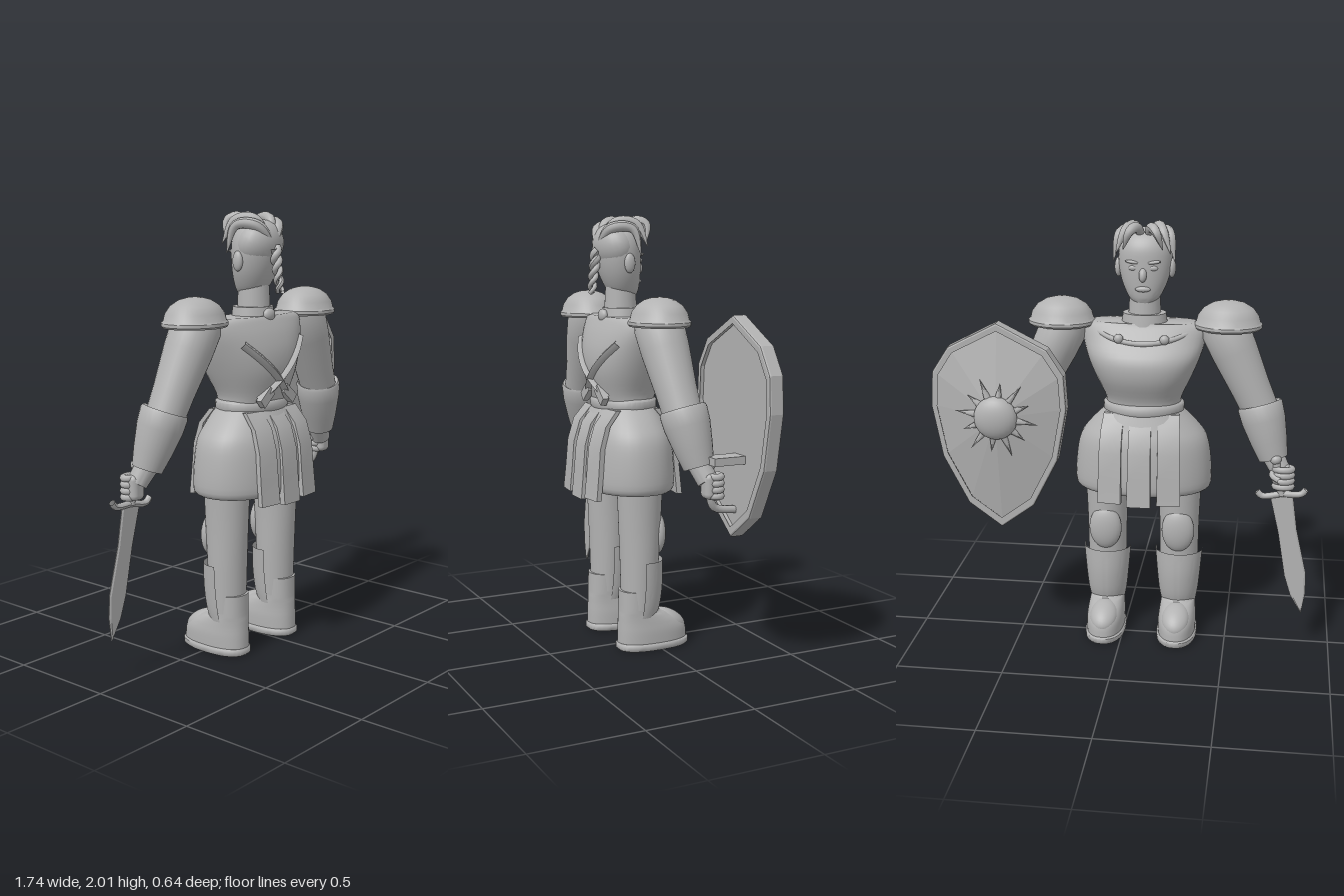
import * as THREE from 'three';
import { toCreasedNormals } from 'three/addons/utils/BufferGeometryUtils.js';
import { RoundedBoxGeometry } from 'three/addons/geometries/RoundedBoxGeometry.js';

const grey = new THREE.MeshStandardMaterial({ color: 0xb2b2b2, side: THREE.DoubleSide });
grey.name = 'grey';
const V = (p) => new THREE.Vector3(...p);

function add(parent, name, geometry, pos = [0, 0, 0], scale = [1, 1, 1], rot = [0, 0, 0]) {
  const m = new THREE.Mesh(geometry, grey);
  m.name = name;
  m.position.set(...pos);
  m.scale.set(...scale);
  m.rotation.set(...rot);
  parent.add(m);
  return m;
}
const ball = (parent, name, pos, scale, rot) => add(parent, name, new THREE.SphereGeometry(1, 24, 16), pos, scale, rot);

// Catmull-Rom smoothing of section rows
function smoothRows(rows, k = 4) {
  const out = [];
  for (let i = 0; i < rows.length - 1; i++) {
    const [a, b, c, d] = [rows[Math.max(i - 1, 0)], rows[i], rows[i + 1], rows[Math.min(i + 2, rows.length - 1)]];
    for (let s = 0; s < k; s++) {
      const t = s / k;
      out.push(b.map((v, j) => v + 0.5 * t * (c[j] - a[j] + t * (2 * a[j] - 5 * v + 4 * c[j] - d[j] + t * (3 * (v - c[j]) + d[j] - a[j])))));
    }
  }
  return [...out, rows[rows.length - 1]];
}

// Horizontal sections [y, half width, front z, back z] joined into a skin
function loft(rows, { n = 2, from = 0, to = Math.PI * 2, smooth = true, close = true, seg = 40 } = {}) {
  let r = smooth ? smoothRows(rows) : rows;
  if (close) {
    const cap = (q) => [q[0], 0, (q[2] + q[3]) / 2, (q[2] + q[3]) / 2];
    r = [cap(r[0]), ...r, cap(r[r.length - 1])];
  }
  const pos = [], idx = [];
  const pw = (v) => Math.sign(v) * Math.abs(v) ** (2 / n);
  r.forEach(([y, rx, zf, zb]) => {
    for (let j = 0; j <= seg; j++) {
      const t = from + ((to - from) * j) / seg;
      pos.push(rx * pw(Math.cos(t)), y, (zf + zb) / 2 + ((zb - zf) / 2) * pw(Math.sin(t)));
    }
  });
  for (let i = 0; i < r.length - 1; i++) for (let j = 0; j < seg; j++) {
    const a = i * (seg + 1) + j, b = a + seg + 1;
    idx.push(a, b, a + 1, b, b + 1, a + 1);
  }
  const g = new THREE.BufferGeometry();
  g.setAttribute('position', new THREE.Float32BufferAttribute(pos, 3));
  g.setIndex(idx);
  return toCreasedNormals(g, 0.8);
}

// Turned part whose profile [radius, 0..1] runs from point a to point b
function turned(parent, name, profile, a, b) {
  const d = V(b).sub(V(a)), len = d.length();
  const g = new THREE.LatheGeometry(profile.map(([r, t]) => new THREE.Vector2(r, t * len)), 28);
  const m = add(parent, name, toCreasedNormals(g, 0.7), a);
  m.quaternion.setFromUnitVectors(new THREE.Vector3(0, 1, 0), d.normalize());
}

// Tube along points, thickness varied by a rule
function tube(parent, name, pts, r, rule = () => 1, radial = 10) {
  const curve = new THREE.CatmullRomCurve3(pts.map(V)), seg = 24;
  const g = new THREE.TubeGeometry(curve, seg, r, radial);
  const p = g.attributes.position, v = new THREE.Vector3();
  for (let i = 0; i < p.count; i++) {
    const u = Math.floor(i / (radial + 1)) / seg, c = curve.getPointAt(u);
    v.fromBufferAttribute(p, i).sub(c).multiplyScalar(rule(u)).add(c);
    p.setXYZ(i, v.x, v.y, v.z);
  }
  g.computeVertexNormals();
  return add(parent, name, g);
}
const leaf = (u) => 0.08 + Math.sin(Math.PI * Math.min(1, u * 0.85 + 0.15));

const torsoRows = [[1.15, 0.175, -0.05, 0.21], [1.2, 0.18, -0.06, 0.225], [1.3, 0.225, -0.105, 0.25], [1.39, 0.262, -0.107, 0.248],
  [1.47, 0.285, -0.05, 0.225], [1.53, 0.29, -0.01, 0.195], [1.55, 0.25, 0.0, 0.18]];
function backZ(x, y) {
  const i = Math.max(0, torsoRows.findIndex((r) => r[0] >= y) - 1), a = torsoRows[i], b = torsoRows[i + 1];
  const [, rx, zf, zb] = a.map((v, j) => v + ((b[j] - v) * (y - a[0])) / (b[0] - a[0]));
  return (zf + zb) / 2 + ((zb - zf) / 2) * (1 - Math.abs(x / rx) ** 2.3) ** (1 / 2.3);
}

function buildBody(f) {
  add(f, 'breastplate', loft(torsoRows, { n: 2.3 }));
  add(f, 'belt', loft([[1.125, 0.185, -0.065, 0.22], [1.135, 0.19, -0.07, 0.225], [1.165, 0.19, -0.07, 0.225], [1.175, 0.18, -0.06, 0.215]], { smooth: false }));
  add(f, 'skirt', loft([[0.75, 0.305, -0.11, 0.28], [0.78, 0.325, -0.125, 0.297], [0.9, 0.32, -0.122, 0.293], [1.0, 0.3, -0.11, 0.278],
    [1.07, 0.25, -0.085, 0.25], [1.14, 0.18, -0.06, 0.212]], { n: 2.2 }));
  add(f, 'collar', loft([[1.51, 0.11, -0.01, 0.185], [1.59, 0.1, 0, 0.17], [1.59, 0.08, 0.01, 0.16]], { smooth: false }));
  add(f, 'neck', new THREE.CylinderGeometry(0.07, 0.078, 0.16, 24), [0, 1.61, 0.09]);
  // hanging skirt panels, back and front
  const edge = [[0.21, 1.13], [0.268, 1.06], [0.298, 0.96], [0.308, 0.84], [0.32, 0]];
  for (const side of [1, -1]) for (const i of [-1, 0, 1]) {
    const low = 0.71 + 0.012 * Math.abs(i);
    const pts = edge.map(([z, y]) => [side * (z - 0.085 - 0.008 * Math.abs(i)), y || low]);
    const outline = [...pts, ...pts.slice().reverse().map(([z, y]) => [z - side * 0.025, y])];
    const g = new THREE.ExtrudeGeometry(new THREE.Shape(outline.map((p) => new THREE.Vector2(...p))), { depth: 0.112, bevelEnabled: false });
    g.translate(0, 0, -0.056).rotateY(-Math.PI / 2);
    const p = g.attributes.position;
    for (let k = 0; k < p.count; k++) p.setX(k, p.getX(k) * (1 - 0.25 * (p.getY(k) - 0.71)));
    add(f, 'skirtPanel', toCreasedNormals(g, 0.5), [i * 0.113, 0, 0.085], [1, 1, 1], [0, i * side * 0.12, 0]);
  }
  // crossed straps on the back, studs and clasp
  for (const s of [1, -1]) {
    const pts = [0, 0.25, 0.5, 0.75, 1].map((t) => {
      const x = s * (0.2 - 0.3 * t), y = 1.44 - 0.26 * t;
      return [x, y, backZ(x, y)];
    });
    tube(f, 'backStrap', pts, 0.021, () => 1, 4);
    add(f, 'strapEnd', new THREE.BoxGeometry(0.09, 0.045, 0.03), [s * -0.08, 1.195, 0.225], [1, 1, 1], [0, 0, s * 0.7]);
    ball(f, 'stud', [s * 0.105, 1.49, -0.045], [0.022, 0.022, 0.02]);
  }
  ball(f, 'clasp', [0, 1.555, 0.18], [0.035, 0.03, 0.02]);
  tube(f, 'neckline', [[-0.24, 1.52, 0.04], [-0.13, 1.485, -0.03], [0, 1.47, -0.055], [0.13, 1.485, -0.03], [0.24, 1.52, 0.04]], 0.012);
}

function buildHead(f) {
  add(f, 'head', loft([[1.64, 0.045, 0.02, 0.11], [1.67, 0.075, 0.008, 0.15], [1.74, 0.107, 0.003, 0.185], [1.82, 0.122, 0.003, 0.203],
    [1.89, 0.118, 0.01, 0.2], [1.94, 0.09, 0.04, 0.17], [1.965, 0.03, 0.08, 0.13]], { n: 2.1 }));
  ball(f, 'nose', [0, 1.775, 0.0], [0.018, 0.032, 0.022], [0.35, 0, 0]);
  ball(f, 'lips', [0, 1.71, 0.005], [0.035, 0.013, 0.013]);
  ball(f, 'hairCap', [0, 1.865, 0.125], [0.127, 0.11, 0.092], [0.3, 0, 0]);
  for (const s of [1, -1]) {
    ball(f, 'ear', [s * 0.123, 1.795, 0.1], [0.018, 0.045, 0.026]);
    ball(f, 'eye', [s * 0.045, 1.805, 0.013], [0.022, 0.012, 0.009]);
    ball(f, 'brow', [s * 0.048, 1.832, 0.012], [0.034, 0.008, 0.012], [0, 0, s * 0.12]);
    tube(f, 'sideLock', [[0, 1.86, 0.205], [s * 0.07, 1.95, 0.17], [s * 0.115, 1.95, 0.08], [s * 0.14, 1.83, 0.05]], 0.024, leaf);
    tube(f, 'topLock', [[s * 0.02, 1.9, 0.18], [s * 0.05, 1.975, 0.14], [s * 0.085, 1.97, 0.05], [s * 0.125, 1.87, 0.01]], 0.023, leaf);
    tube(f, 'forelock', [[s * 0.01, 1.93, 0.1], [s * 0.035, 1.985, 0.03], [s * 0.06, 1.97, -0.012], [s * 0.09, 1.89, 0]], 0.022, leaf);
  }
  // braid of two wound strands
  for (const phase of [0, Math.PI]) {
    const pts = Array.from({ length: 13 }, (_, i) => {
      const a = phase + i * 1.15;
      return [0.004 * i / 12 + 0.014 * Math.cos(a), 1.855 - 0.0165 * i, 0.212 + 0.0022 * i + 0.012 * Math.sin(a)];
    });
    tube(f, 'braid', pts, 0.017, (u) => 1.05 - 0.5 * u);
  }
}

function buildLeg(f, s) {
  const g = new THREE.Group();
  g.name = s > 0 ? 'leftLeg' : 'rightLeg';
  g.position.x = s * 0.175;
  f.add(g);
  add(g, 'thigh', loft([[0.2, 0.085, 0, 0.165], [0.4, 0.092, -0.01, 0.17], [0.6, 0.096, -0.022, 0.178], [0.8, 0.105, -0.03, 0.185]]));
  ball(g, 'kneePad', [0, 0.548, -0.002], [0.078, 0.108, 0.042]);
  add(g, 'greave', loft([[0.16, 0.085, -0.002, 0.17], [0.22, 0.095, -0.02, 0.175], [0.32, 0.105, -0.03, 0.175], [0.43, 0.114, -0.027, 0.175]],
    { from: Math.PI * 0.93, to: Math.PI * 2.07, close: false }));
  add(g, 'sole', loft([[0, 0.09, -0.16, 0.185], [0.008, 0.097, -0.167, 0.193], [0.028, 0.097, -0.167, 0.193], [0.035, 0.09, -0.16, 0.187]], { n: 2.4, smooth: false }));
  add(g, 'boot', loft([[0.035, 0.09, -0.16, 0.187], [0.09, 0.091, -0.152, 0.186], [0.13, 0.087, -0.115, 0.184], [0.165, 0.082, -0.05, 0.182],
    [0.19, 0.079, -0.005, 0.18], [0.285, 0.079, 0.0, 0.178]], { n: 2.3 }));
  ball(g, 'toeCap', [0, 0.115, -0.07], [0.068, 0.05, 0.095], [-0.5, 0, 0]);
}

function buildArm(f, s) {
  const g = new THREE.Group();
  g.name = s > 0 ? 'leftArm' : 'rightArm';
  f.add(g);
  const dome = [[0, 0], [0.15, 0], [0.157, 0.008], [0.157, 0.022], [0.148, 0.03], [0.14, 0.06], [0.115, 0.093], [0.075, 0.117], [0.035, 0.127], [0, 0.13]];
  add(g, 'pauldron', toCreasedNormals(new THREE.LatheGeometry(dome.map((p) => new THREE.Vector2(...p)), 40), 0.7),
    [s * 0.386, 1.525, 0.083], [1, 1, 0.86]);
  turned(g, 'upperArm', [[0, 0], [0.09, 0.02], [0.112, 0.14], [0.108, 0.35], [0.092, 0.7], [0.084, 1], [0, 1]],
    [s * 0.34, 1.59, 0.083], [s * 0.565, 1.11, 0.048]);
  turned(g, 'gauntlet', [[0, 0.03], [0.085, 0.03], [0.1, 0], [0.106, 0.05], [0.103, 0.3], [0.085, 0.7], [0.068, 1], [0, 1]],
    [s * 0.542, 1.18, 0.05], [s * 0.615, 0.93, 0.008]);
  turned(g, 'wrist', [[0.052, 0], [0.046, 1], [0, 1]], [s * 0.61, 0.95, 0.008], [s * 0.655, 0.87, -0.015]);
  // fist with four fingers
  add(g, 'palm', new RoundedBoxGeometry(0.075, 0.115, 0.07, 3, 0.025), [s * 0.665, 0.855, -0.02]);
  for (let i = 0; i < 4; i++) {
    add(g, 'finger', new THREE.TorusGeometry(0.032, 0.016, 8, 20), [s * 0.665, 0.812 + i * 0.028, -0.04], [1.15, 0.9, 1], [Math.PI / 2, 0, 0]);
  }
  tube(g, 'thumb', [[s * 0.625, 0.89, -0.01], [s * 0.615, 0.865, -0.05], [s * 0.65, 0.85, -0.08]], 0.016);
}

function buildSword(root) {
  const g = new THREE.Group();
  g.name = 'sword';
  g.position.set(-0.75, 0.77, -0.05);
  g.rotation.set(0.03, 0, -0.19);
  root.add(g);
  const blade = new THREE.Shape([[-0.045, 0], [-0.036, -0.18], [-0.045, -0.4], [-0.028, -0.5], [0, -0.59], [0.028, -0.5], [0.04, -0.4], [0.036, -0.18], [0.045, 0]].map((p) => new THREE.Vector2(...p)));
  add(g, 'blade', new THREE.ExtrudeGeometry(blade, { depth: 0.004, bevelThickness: 0.005, bevelSize: 0.008, bevelSegments: 1 }), [0, 0, -0.002]);
  tube(g, 'crossguard', [[-0.115, 0.01, 0], [-0.09, -0.008, 0], [0, 0.005, 0], [0.09, 0.01, 0], [0.11, 0.035, 0]], 0.015);
  add(g, 'grip', new THREE.CylinderGeometry(0.018, 0.018, 0.17, 12), [0, 0.085, 0]);
  ball(g, 'pommel', [0, 0.175, 0], [0.026, 0.024, 0.026]);
}

function buildShield(root) {
  const g = new THREE.Group();
  g.name = 'shield';
  g.position.set(0.545, 1.16, 0);
  root.add(g);
  const half = [[0, 0.42], [0.225, 0.305], [0.3, 0.19], [0.31, 0.03], [0.265, -0.215], [0.15, -0.44], [0, -0.55]];
  const outline = [...half, ...half.slice(1, -1).reverse().map(([x, y]) => [-x, y])];
  const shape = (k) => new THREE.Shape(outline.map(([x, y]) => new THREE.Vector2(x * k, y * k)));
  const rim = shape(0.985);
  rim.holes.push(shape(0.92));
  add(g, 'rim', new THREE.ExtrudeGeometry(rim, { depth: 0.05, bevelThickness: 0.01, bevelSize: 0.008, bevelSegments: 2 }), [0, 0, -0.2]);
  add(g, 'backBoard', new THREE.ShapeGeometry(shape(0.93)), [0, 0, -0.16]);
  // faceted front rising to the middle
  const tri = [];
  outline.forEach(([x, y], i) => {
    const [u, v] = outline[(i + 1) % outline.length];
    tri.push(0, 0, -0.28, x * 0.93, y * 0.93, -0.2, u * 0.93, v * 0.93, -0.2);
  });
  const face = new THREE.BufferGeometry();
  face.setAttribute('position', new THREE.Float32BufferAttribute(tri, 3));
  face.computeVertexNormals();
  add(g, 'face', face);
  ball(g, 'boss', [0, 0, -0.27], [0.1, 0.1, 0.052]);
  for (let i = 0; i < 12; i++) {
    const a = (i / 12) * Math.PI * 2 + 0.15, r = i % 2 ? 0.13 : 0.145;
    add(g, 'ray', new THREE.ConeGeometry(0.017, i % 2 ? 0.07 : 0.1, 6), [r * Math.cos(a), r * Math.sin(a), -0.262], [1, 1, 1], [0, 0, a - Math.PI / 2]);
  }
  tube(g, 'handle', [[0, -0.2, -0.17], [0.015, -0.205, -0.06], [0.01, -0.23, -0.03], [0.005, -0.36, -0.035], [0, -0.41, -0.06], [0, -0.43, -0.17]], 0.018);
  add(g, 'handleStrap', new THREE.BoxGeometry(0.09, 0.035, 0.16), [0.045, -0.195, -0.09]);
}

export function createModel() {
  const root = new THREE.Group();
  root.name = 'knight';
  const figure = new THREE.Group();
  figure.name = 'figure';
  figure.position.x = -0.09;
  root.add(figure);
  buildBody(figure);
  buildHead(figure);
  for (const s of [1, -1]) {
    buildLeg(figure, s);
    buildArm(figure, s);
  }
  buildSword(root);
  buildShield(root);
  return root;
}
